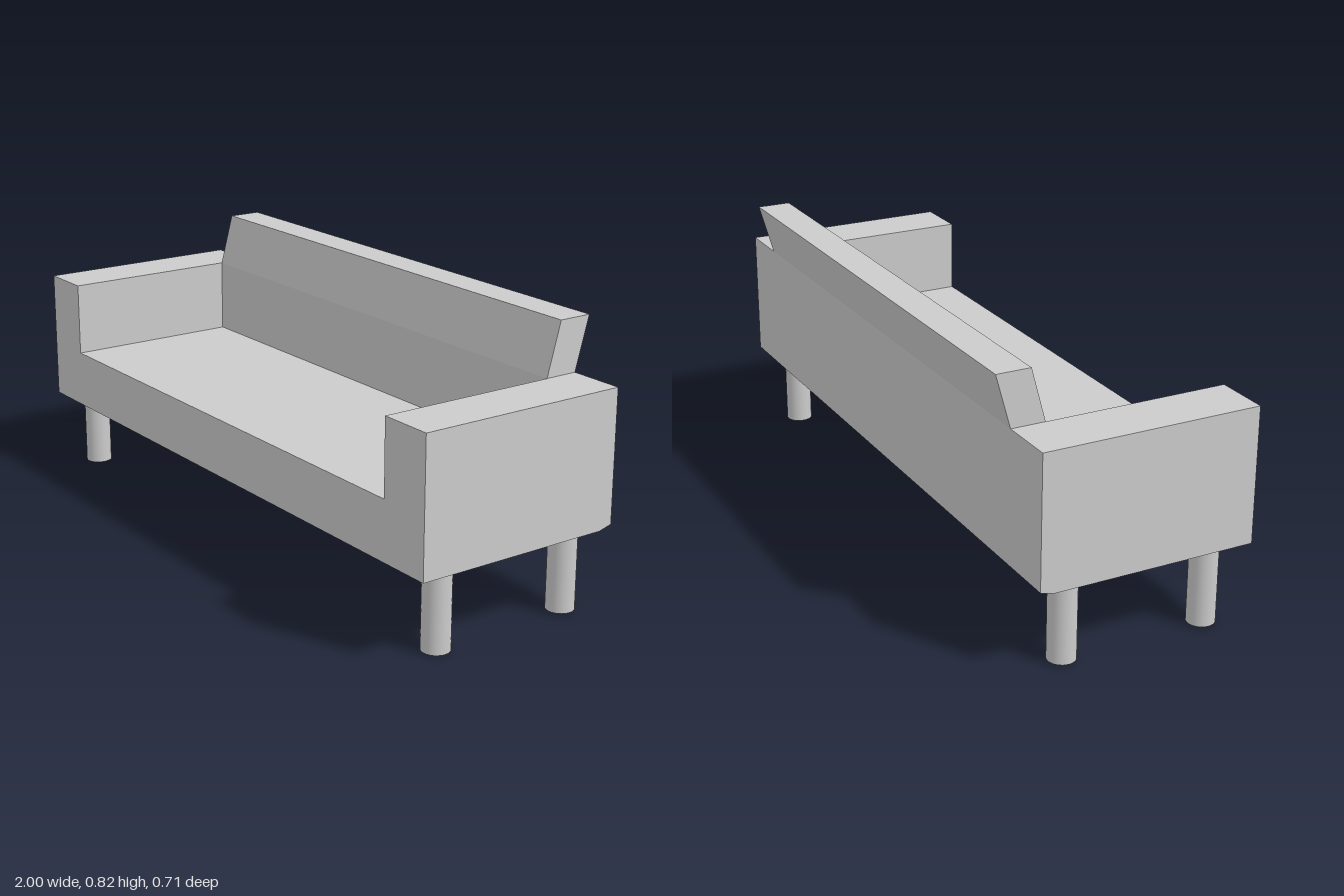
import * as THREE from 'three';

const material = new THREE.MeshStandardMaterial({ color: 0xcccccc });

// Straight extrusion of a closed outline
function prism(points, depth, steps = 1) {
  const shape = new THREE.Shape(points.map(([x, y]) => new THREE.Vector2(x, y)));
  return new THREE.ExtrudeGeometry(shape, { depth, steps, bevelEnabled: false });
}

function addMesh(parent, name, geometry) {
  const mesh = new THREE.Mesh(geometry, material);
  mesh.name = name;
  parent.add(mesh);
  return mesh;
}

export function createModel() {
  const sofa = new THREE.Group();
  sofa.name = 'sofa';

  const bottom = 0.247, seat = 0.427, armTop = 0.657, inner = 0.83;
  const back = -0.31, front = 0.355;

  // Seat and both arms: one U-shaped section run from back to front
  const body = prism([
    [-1, bottom], [1, bottom], [1, armTop], [inner, armTop],
    [inner, seat], [-inner, seat], [-inner, armTop], [-1, armTop],
  ], front - back, 2);
  body.translate(0, 0, back);

  // Slanted underside along the rear edge
  const pos = body.attributes.position;
  for (let i = 0; i < pos.count; i++) {
    const z = pos.getZ(i);
    if (z < back + 0.01) {
      if (pos.getY(i) < bottom + 0.01) pos.setY(i, bottom + 0.011);
    } else if (z < front - 0.01) {
      pos.setZ(i, back + 0.043);
    }
  }
  body.computeVertexNormals();
  addMesh(sofa, 'seatAndArms', body);

  // Backrest: upright between the arms, leaning back above them
  const backrest = prism([
    [-0.206, seat], [-0.206, armTop], [-0.25, 0.817],
    [-0.355, 0.817], [back, armTop], [back, seat],
  ].reverse(), 2 * inner);
  backrest.rotateY(-Math.PI / 2);
  backrest.translate(inner, 0, 0);
  addMesh(sofa, 'backrest', backrest);

  // Four round legs
  const legs = [
    ['frontLeftLeg', 0.921, 0.244, 0], ['frontRightLeg', -0.934, 0.244, 0.003],
    ['backLeftLeg', 0.921, -0.205, 0.004], ['backRightLeg', -0.934, -0.205, 0.004],
  ];
  for (const [name, x, z, foot] of legs) {
    const height = bottom - foot;
    const leg = addMesh(sofa, name, new THREE.CylinderGeometry(0.042, 0.042, height, 32));
    leg.position.set(x, foot + height / 2, z);
  }

  return sofa;
}
